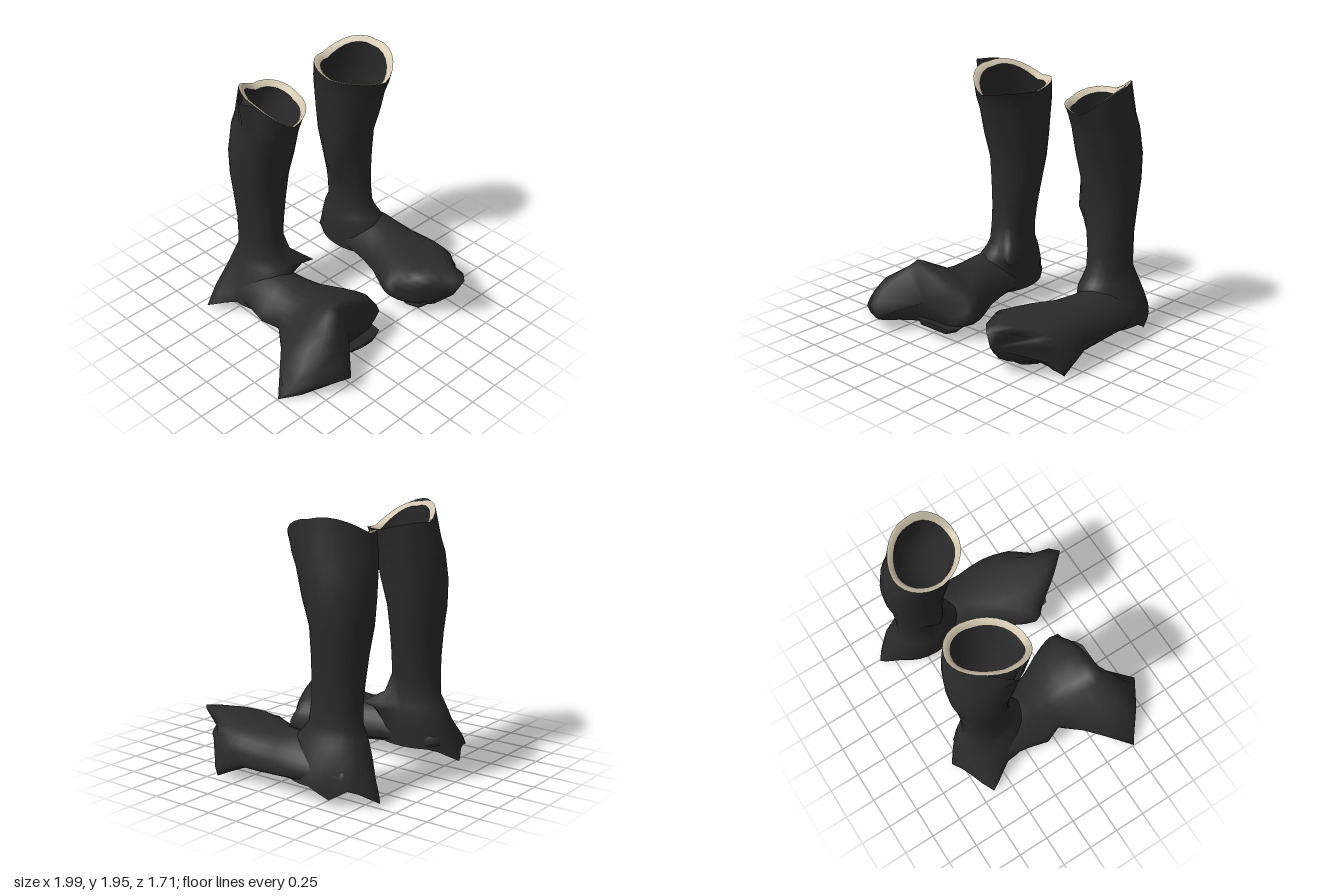
import * as THREE from 'three';

const mat = (name, color, side = THREE.FrontSide) => {
  const m = new THREE.MeshStandardMaterial({ color, side });
  m.name = name;
  return m;
};
const V = (x, y, z) => new THREE.Vector3(x, y, z);
const SIDES = 28;
const MIRROR_X = 0.39; // x of one boot plus x of its twin

// Shaft levels from heel hem up: y, inner x, outer x, back z, front z, skew
const SHAFT = [
  [0.13, 0.51, 0.975, -0.77, -0.10, 0], [0.20, 0.505, 0.965, -0.765, -0.10, 0],
  [0.30, 0.50, 0.925, -0.745, -0.12, 0], [0.40, 0.505, 0.887, -0.71, -0.14, 0],
  [0.45, 0.515, 0.862, -0.69, -0.19, 0], [0.52, 0.53, 0.84, -0.655, -0.24, 0],
  [0.65, 0.525, 0.84, -0.65, -0.26, 0], [0.80, 0.505, 0.84, -0.655, -0.265, 0],
  [1.00, 0.465, 0.86, -0.67, -0.265, 0], [1.20, 0.43, 0.875, -0.70, -0.25, 0],
  [1.40, 0.405, 0.89, -0.71, -0.19, 0.03], [1.60, 0.385, 0.88, -0.70, -0.14, 0.09],
  [1.70, 0.37, 0.87, -0.68, -0.10, 0.14],
];
const LIP = [0, 0.35, 0.86, -0.64, -0.07, 0.2];

// Foot sections, heel to toe: z, inner x, outer x, bottom y, top y, roundness of the top
const FOOT = [
  [-0.72, 0.60, 0.84, 0.15, 0.26, 1], [-0.65, 0.55, 0.90, 0.13, 0.32, 1],
  [-0.45, 0.52, 0.955, 0.13, 0.38, 1.2], [-0.25, 0.51, 0.985, 0.12, 0.43, 1.25],
  [-0.10, 0.49, 0.975, 0.11, 0.41, 1.1], [0.05, 0.45, 0.97, 0.10, 0.395, 0.95],
  [0.20, 0.37, 0.98, 0.10, 0.40, 0.85], [0.30, 0.325, 0.98, 0.095, 0.41, 0.85],
  [0.38, 0.305, 0.965, 0.09, 0.42, 0.85], [0.44, 0.32, 0.94, 0.09, 0.42, 0.85],
  [0.50, 0.40, 0.88, 0.10, 0.41, 0.85],
];

// Sole sections, heel to toe: z, inner x, outer x, y
const SOLE = [
  [-0.70, 0.62, 0.84, 0.13], [-0.55, 0.57, 0.90, 0.125], [-0.25, 0.58, 0.88, 0.115],
  [0.05, 0.52, 0.88, 0.095], [0.30, 0.42, 0.86, 0.08], [0.48, 0.38, 0.80, 0.075],
  [0.57, 0.40, 0.74, 0.085], [0.61, 0.48, 0.66, 0.11],
];

// Skin over closed rings of points, with optional end caps
function loft(rings, capStart = false, capEnd = false) {
  const n = rings[0].length, pts = rings.flat(), index = [];
  for (let i = 0; i < rings.length - 1; i++) {
    for (let j = 0; j < n; j++) {
      const a = i * n + j, b = i * n + (j + 1) % n, c = a + n, d = b + n;
      index.push(a, c, b, b, c, d);
    }
  }
  const cap = (row, start) => {
    const center = V(0, 0, 0);
    rings[row].forEach(p => center.addScaledVector(p, 1 / n));
    const k = pts.push(center) - 1;
    for (let j = 0; j < n; j++) {
      const a = row * n + j, b = row * n + (j + 1) % n;
      if (start) index.push(a, b, k); else index.push(b, a, k);
    }
  };
  if (capStart) cap(0, true);
  if (capEnd) cap(rings.length - 1, false);
  const g = new THREE.BufferGeometry().setFromPoints(pts);
  g.setIndex(index);
  return g;
}

// Drag the leather near one point towards another, never below the ground
function pull(g, from, to, radius) {
  const p = g.attributes.position, v = V(0, 0, 0);
  const near = V(...from), anchor = V(0, 0, 0);
  let bestD = Infinity;
  for (let i = 0; i < p.count; i++) {
    const d = v.fromBufferAttribute(p, i).distanceTo(near);
    if (d < bestD) { bestD = d; anchor.copy(v); }
  }
  const delta = V(...to).sub(anchor);
  for (let i = 0; i < p.count; i++) {
    v.fromBufferAttribute(p, i);
    const w = Math.max(0, 1 - v.distanceTo(anchor) / radius);
    v.addScaledVector(delta, w);
    p.setXYZ(i, v.x, Math.max(0.004, v.y), v.z);
  }
}

const angles = Array.from({ length: SIDES }, (_, i) => i / SIDES * Math.PI * 2);
const lipHeight = t => 1.75 + 0.19 * Math.max(0, Math.cos(t)) ** 1.3
  + 0.085 * Math.max(0, -Math.sin(t)) + 0.03 * Math.max(0, -Math.cos(t));

function shaftRing([y, x0, x1, z0, z1, skew], inset = 0, yAt = () => y) {
  return angles.map(t => {
    const dz = Math.sin(t) * ((z1 - z0) / 2 - inset);
    return V((x0 + x1) / 2 + Math.cos(t) * ((x1 - x0) / 2 - inset) + skew * dz,
      yAt(t), (z0 + z1) / 2 + dz);
  });
}

function footRing([z, x0, x1, yb, yt, round]) {
  const waist = yb + (yt - yb) * 0.28;
  return angles.map(t => {
    const c = Math.cos(t), s = -Math.sin(t);
    const x = (x0 + x1) / 2 + Math.sign(c) * Math.abs(c) ** (s > 0 ? round : 0.7) * (x1 - x0) / 2;
    const y = s > 0 ? waist + (yt - waist) * s ** round : waist - (waist - yb) * (-s) ** 0.6;
    return V(x, y, z);
  });
}

const soleRing = ([z, x0, x1, y]) => [V(x1 - 0.04, y - 0.008, z), V(x0 + 0.04, y - 0.008, z),
  V(x0, y + 0.03, z), V(x1, y + 0.03, z)];

function makeBoot(name, mirrored, m, footPulls, shaftPulls) {
  const boot = new THREE.Group();
  boot.name = name;
  const add = (part, g, material) => {
    if (mirrored) {
      g.scale(-1, 1, 1).translate(MIRROR_X, 0, 0);
      const a = g.index.array;
      for (let i = 0; i < a.length; i += 3) [a[i], a[i + 1]] = [a[i + 1], a[i]];
    }
    g.computeVertexNormals();
    const mesh = new THREE.Mesh(g, material);
    mesh.name = part;
    boot.add(mesh);
  };

  // Shaft flaring into the heel
  const shaft = loft([...SHAFT.map(r => shaftRing(r)), shaftRing(LIP, 0, lipHeight)]);
  shaftPulls.forEach(p => pull(shaft, ...p));
  add('shaft', shaft, m.leather);

  // Pale cuff lining the mouth
  const cuffEdge = shaftRing(LIP, 0.046, t => lipHeight(t) - 0.035);
  add('cuffLining', loft([shaftRing(LIP, 0, lipHeight),
    shaftRing(LIP, 0.022, t => lipHeight(t) - 0.006), cuffEdge]), m.cream);

  // Dark inside of the shaft with its floor
  const inner = SHAFT.slice(5).reverse().map(r => shaftRing(r, 0.03));
  add('innerShaft', loft([cuffEdge, ...inner], false, true), m.leather);

  const foot = loft(FOOT.map(footRing), true, true);
  footPulls.forEach(p => pull(foot, ...p));
  add('foot', foot, m.leather);

  add('sole', loft(SOLE.map(soleRing), true, true), m.sole);
  return boot;
}

export function createModel() {
  const m = {
    leather: mat('black leather', 0x2b2b2b, THREE.DoubleSide),
    cream: mat('cream lining', 0xcfc4ae, THREE.DoubleSide),
    sole: mat('dark sole', 0x252525),
  };
  const model = new THREE.Group();
  model.name = 'boots';

  // Left boot: pointed toe cap and torn hem
  model.add(makeBoot('leftBoot', false, m, [
    [[0.58, 0.12, 0.50], [0.56, 0.09, 0.60], 0.24],
    [[0.62, 0.25, 0.52], [0.60, 0.25, 0.66], 0.24],
    [[0.64, 0.41, 0.50], [0.63, 0.40, 0.85], 0.34],
    [[0.78, 0.35, 0.65], [0.77, 0.30, 0.57], 0.14],
    [[0.93, 0.12, 0.40], [0.97, 0.02, 0.42], 0.16],
    [[0.60, 0.09, 0.40], [0.57, 0.015, 0.40], 0.17],
    [[0.31, 0.2, 0.38], [0.26, 0.25, 0.38], 0.17],
  ], [
    [[0.74, 0.13, -0.77], [0.73, 0.03, -0.86], 0.14],
    [[0.93, 0.13, -0.6], [0.93, 0.05, -0.57], 0.14],
    [[0.47, 0.95, -0.4], [0.415, 0.95, -0.4], 0.15],
  ]));

  // Right boot: foot swept far out to the side
  model.add(makeBoot('rightBoot', true, m, [
    [[0.75, 0.42, 0.44], [0.83, 0.54, 0.47], 0.28],
    [[0.90, 0.34, 0.40], [1.00, 0.40, 0.43], 0.2],
    [[0.84, 0.28, 0.50], [0.94, 0.14, 0.81], 0.26],
    [[0.94, 0.18, 0.42], [1.39, 0.015, 0.51], 0.36],
    [[0.88, 0.09, 0.46], [1.06, 0.01, 0.54], 0.17],
    [[0.33, 0.2, 0.44], [0.31, 0.2, 0.48], 0.12],
    [[0.975, 0.2, -0.1], [1.03, 0.2, -0.09], 0.13],
  ], [
    [[0.70, 0.13, -0.77], [0.73, 0.03, -0.82], 0.14],
    [[0.93, 0.13, -0.62], [1.10, 0.04, -0.65], 0.2],
    [[0.86, 1.94, -0.35], [0.95, 1.95, -0.32], 0.12],
    [[0.53, 0.45, -0.25], [0.44, 0.44, -0.12], 0.1],
  ]));
  return model;
}
